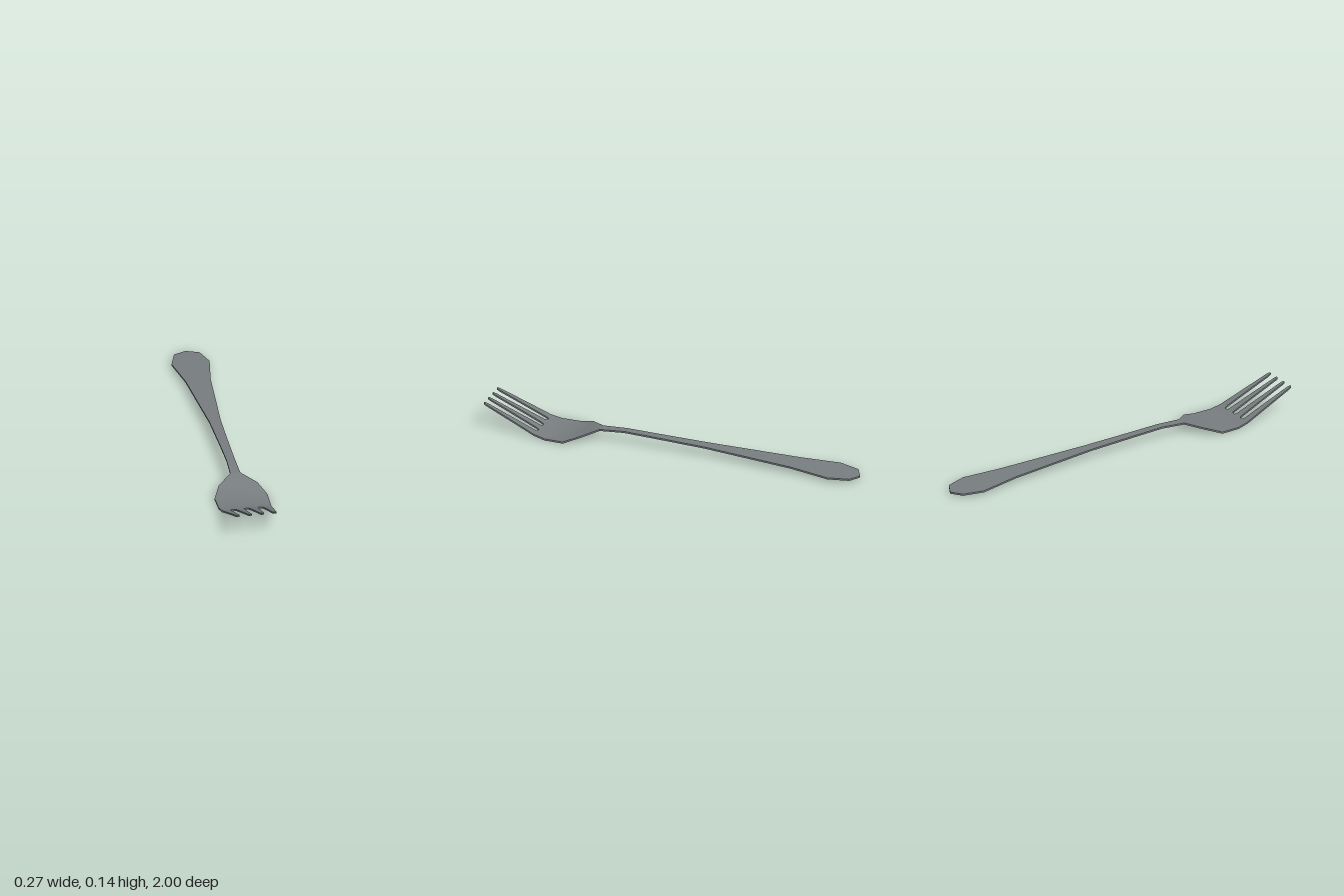
import * as THREE from 'three';

const THICKNESS = 0.009;

// Height of the upper surface along the fork: [z, y]
const PROFILE = [
  [-1, 0.013], [-0.97, 0.017], [-0.86, 0.022], [-0.64, 0.034], [-0.17, 0.053], [0.1, 0.061],
  [0.27, 0.066], [0.4, 0.058], [0.48, 0.037], [0.56, 0.009], [0.66, 0.01], [0.72, 0.024],
  [0.82, 0.067], [1, 0.143],
];

// Linear lookup of column k in a table sorted by z
function lookup(table, z, k) {
  let i = 1;
  while (i < table.length - 1 && table[i][0] < z) i++;
  const a = table[i - 1], b = table[i];
  return THREE.MathUtils.lerp(a[k], b[k], (z - a[0]) / (b[0] - a[0]));
}

// Thin curved plate; outline rows are [z, xLeft, xRight]
function plate(name, outline, material, capStart, capEnd) {
  const z0 = outline[0][0], z1 = outline[outline.length - 1][0];
  const zs = [...outline, ...PROFILE].map((r) => r[0]).filter((z) => z >= z0 && z <= z1);
  const stations = [...new Set(zs)].sort((a, b) => a - b);
  const rings = stations.map((z) => {
    const l = lookup(outline, z, 1), r = lookup(outline, z, 2), y = lookup(PROFILE, z, 1);
    return [[l, y, z], [r, y, z], [r, y - THICKNESS, z], [l, y - THICKNESS, z]];
  });
  const pos = [], index = [];
  // Each of the four sides has its own vertices, so its edges stay sharp
  for (let k = 0; k < 4; k++) {
    const base = pos.length / 3;
    rings.forEach((ring, i) => {
      pos.push(...ring[k], ...ring[(k + 1) % 4]);
      if (i === 0) return;
      const a = base + 2 * (i - 1), b = a + 1, c = a + 2, d = a + 3;
      index.push(a, c, d, a, d, b);
    });
  }
  const cap = (corners) => {
    const n = pos.length / 3;
    pos.push(...corners.flat());
    index.push(n, n + 1, n + 2, n, n + 2, n + 3);
  };
  if (capStart) cap(rings[0]);
  if (capEnd) cap([...rings[rings.length - 1]].reverse());

  const geometry = new THREE.BufferGeometry();
  geometry.setAttribute('position', new THREE.Float32BufferAttribute(pos, 3));
  geometry.setIndex(index);
  geometry.computeVertexNormals();
  const mesh = new THREE.Mesh(geometry, material);
  mesh.name = name;
  return mesh;
}

const symmetric = (rows) => rows.map(([z, w]) => [z, -w, w]);

export function createModel() {
  const fork = new THREE.Group();
  fork.name = 'fork';
  const metal = new THREE.MeshStandardMaterial({ color: 0x777c7f });

  // Handle with a faceted, spatulate end and a narrow neck
  fork.add(plate('handle', symmetric([
    [-1, 0.004], [-0.967, 0.066], [-0.86, 0.098], [-0.65, 0.065],
    [-0.17, 0.03], [0.1, 0.024], [0.27, 0.022], [0.4, 0.026],
  ]), metal, true, false));

  // Broad head between neck and tines
  fork.add(plate('head', symmetric([
    [0.4, 0.026], [0.48, 0.1], [0.56, 0.136], [0.66, 0.134], [0.715, 0.129],
  ]), metal, false, false));

  // Tines: roots flare together to form the chamfered slot ends
  const inner = [
    [0.715, 0, 0.07], [0.716, 0.008, 0.062], [0.722, 0.013, 0.057], [0.735, 0.015, 0.055],
    [0.985, 0.022, 0.041], [1, 0.026, 0.037],
  ];
  const outer = [
    [0.715, 0.07, 0.129], [0.716, 0.078, 0.129], [0.722, 0.083, 0.128], [0.735, 0.085, 0.127],
    [0.985, 0.085, 0.105], [1, 0.089, 0.1],
  ];
  const mirror = (rows) => rows.map(([z, l, r]) => [z, -r, -l]);
  for (const [name, rows] of [['InnerTine', inner], ['OuterTine', outer]]) {
    fork.add(plate('left' + name, rows, metal, false, true));
    fork.add(plate('right' + name, mirror(rows), metal, false, true));
  }
  return fork;
}
